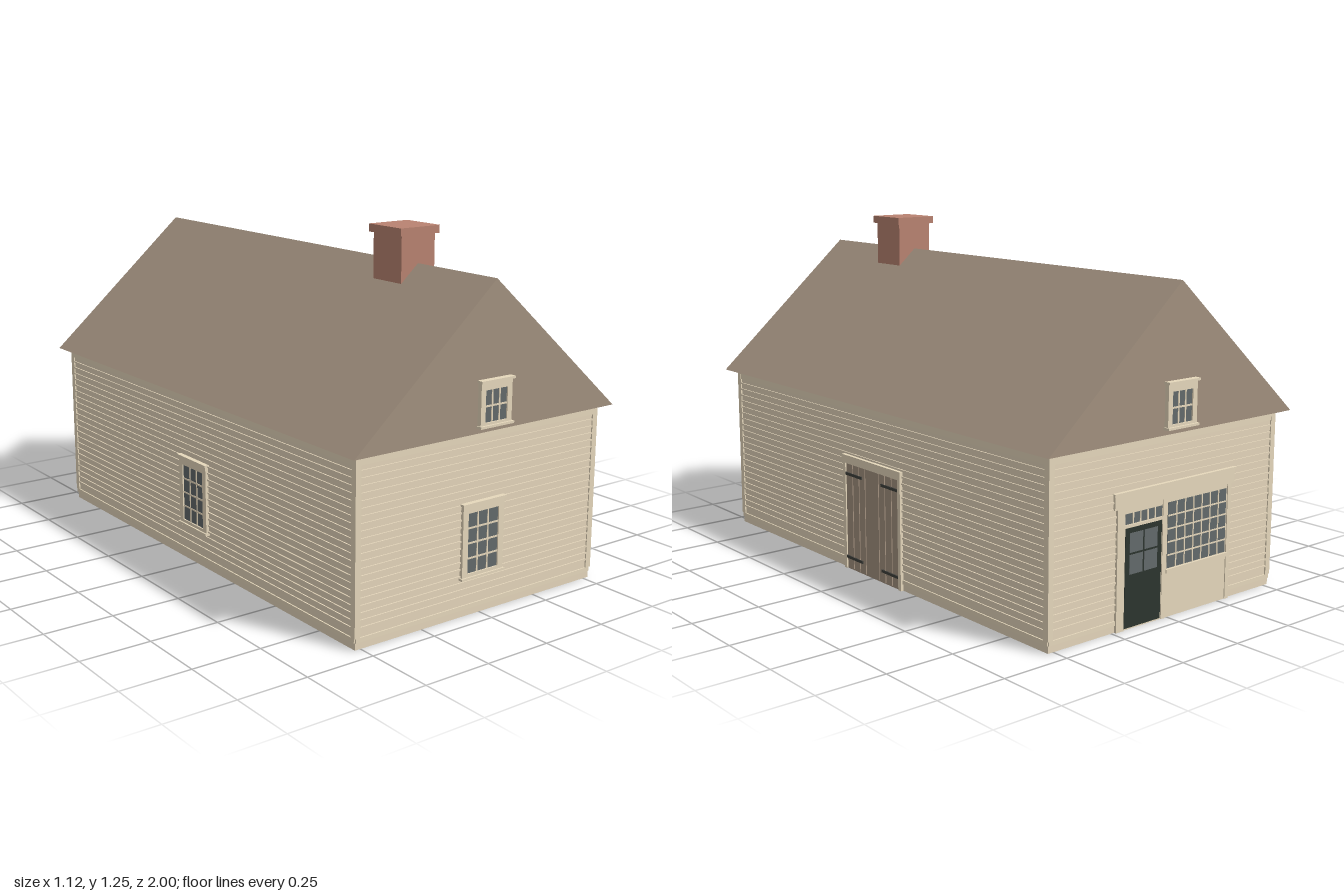
import * as THREE from 'three';

const mat = (name, color, side = THREE.FrontSide) => {
  const m = new THREE.MeshStandardMaterial({ color, side });
  m.name = name;
  return m;
};

export function createModel() {
  const M = {
    wall: mat('wall tan', 0xe5d6bb, THREE.DoubleSide),
    trim: mat('trim cream', 0xe6d8bc),
    glass: mat('window glass', 0x636a6b),
    roof: mat('roof brown', 0xa2917f),
    brick: mat('chimney brick', 0xb98371),
    barn: mat('barn door brown', 0xa49280),
    iron: mat('hinge iron', 0x3f403c),
    shopDoor: mat('shop door green', 0x2c342e),
  };
  const house = new THREE.Group();
  house.name = 'house';

  // Box given by its x range, y range and z range
  const box = (parent, name, m, x0, x1, y0, y1, z0, z1) => {
    const mesh = new THREE.Mesh(new THREE.BoxGeometry(x1 - x0, y1 - y0, z1 - z0), m);
    mesh.position.set((x0 + x1) / 2, (y0 + y1) / 2, (z0 + z1) / 2);
    mesh.name = name;
    parent.add(mesh);
  };
  const group = (parent, name) => {
    const g = new THREE.Group();
    g.name = name;
    parent.add(g);
    return g;
  };

  // Pane of glass crossed by glazing bars
  const glazing = (g, x0, x1, y0, y1, cols, rows, z, bar) => {
    box(g, 'glass', M.glass, x0, x1, y0, y1, z - 0.003, z);
    for (let i = 1; i < cols; i++) {
      const x = x0 + (x1 - x0) * i / cols;
      box(g, 'uprightBar', M.trim, x - bar / 2, x + bar / 2, y0, y1, z, z + 0.002);
    }
    for (let j = 1; j < rows; j++) {
      const y = y0 + (y1 - y0) * j / rows;
      box(g, 'crossBar', M.trim, x0, x1, y - bar / 2, y + bar / 2, z, z + 0.002);
    }
  };

  // Framed sash window with a cap and a sill; hw and gw are half widths
  const sashWindow = (parent, name, hw, y0, y1, gw, g0, g1, cols, rows, depth, lip) => {
    const g = group(parent, name);
    for (const s of [-1, 1]) {
      const a = s * gw, b = s * hw;
      box(g, 'jamb', M.trim, Math.min(a, b), Math.max(a, b), y0, y1, 0, depth);
    }
    box(g, 'headCasing', M.trim, -gw, gw, g1, y1, 0, depth);
    box(g, 'bottomRail', M.trim, -gw, gw, y0, g0, 0, depth);
    box(g, 'cap', M.trim, -hw - 0.005, hw + 0.005, y1 - 0.005, y1 + 0.003, 0, lip);
    box(g, 'sill', M.trim, -hw - 0.005, hw + 0.005, y0 - 0.007, y0 + 0.001, 0, lip);
    glazing(g, -gw, gw, g0, g1, cols, rows, depth - 0.005, 0.006);
    return g;
  };

  // One clapboard wall, built facing +z at a distance from the centre
  const EAVE = 0.634;
  const wall = (name, angle, half, dist) => {
    const turned = group(house, name);
    turned.rotation.y = angle;
    const g = group(turned, name + 'Face');
    g.position.z = dist;
    const sheet = new THREE.Mesh(new THREE.PlaneGeometry(half * 2, EAVE), M.wall);
    sheet.position.y = EAVE / 2;
    sheet.name = 'wallSheet';
    g.add(sheet);
    for (let i = 0; i < 22; i++) {
      const y = 0.071 + i * 0.0243;
      box(g, 'clapboardEdge', M.wall, -half + 0.015, half - 0.015, y - 0.003, y + 0.003, 0, 0.0045);
    }
    for (const s of [-1, 1]) {
      const a = s * (half - 0.017), b = s * (half + 0.005);
      box(g, 'cornerBoard', M.trim, Math.min(a, b), Math.max(a, b), 0.04, EAVE, 0, 0.005);
    }
    box(g, 'frieze', M.trim, -half, half, 0.6, EAVE, 0, 0.0042);
    box(g, 'baseBoard', M.trim, -half, half, 0.025, 0.04, 0, 0.0046);
    return g;
  };
  const front = wall('frontWall', 0, 0.522, 0.937);
  const left = wall('leftWall', Math.PI / 2, 0.937, 0.522);
  const back = wall('backWall', Math.PI, 0.522, 0.937);
  const right = wall('rightWall', -Math.PI / 2, 0.937, 0.522);

  for (const [w, n] of [[front, 'frontWindow'], [right, 'sideWindow']])
    sashWindow(w, n, 0.09, 0.139, 0.391, 0.067, 0.151, 0.359, 3, 4, 0.012, 0.018);

  // Double barn door with plank battens and strap hinges
  const barn = group(left, 'barnDoor');
  box(barn, 'header', M.trim, -0.18, 0.18, 0.4, 0.43, 0, 0.013);
  for (const s of [-1, 1]) {
    const span = (a, b) => (s > 0 ? [a, b] : [-b, -a]);
    box(barn, 'jamb', M.trim, ...span(0.161, 0.177), 0, 0.4, 0, 0.011);
    box(barn, 'doorLeaf', M.barn, ...span(0, 0.161), 0, 0.4, 0, 0.006);
    for (const x of [0.042, 0.08, 0.12])
      box(barn, 'plankBatten', M.barn, ...span(x - 0.0015, x + 0.0015), 0.005, 0.398, 0.005, 0.009);
    for (const y of [0.045, 0.36])
      box(barn, 'strapHinge', M.iron, ...span(0.06, 0.161), y - 0.005, y + 0.005, 0.005, 0.011);
  }

  // Shop front: surround, glazed door with transom, wide window
  const shop = group(back, 'shopFront');
  box(shop, 'surround', M.trim, -0.237, 0.302, 0, 0.42, 0, 0.0055);
  box(shop, 'header', M.trim, -0.25, 0.317, 0.41, 0.465, 0, 0.009);
  box(shop, 'headerCap', M.trim, -0.255, 0.322, 0.457, 0.465, 0, 0.013);
  for (const [a, b] of [[-0.237, -0.203], [-0.03, -0.012], [0.285, 0.302]])
    box(shop, 'pilaster', M.trim, a, b, 0, 0.41, 0, 0.009);
  const door = group(shop, 'shopDoor');
  box(door, 'doorLeaf', M.shopDoor, -0.2, -0.033, 0.005, 0.345, 0, 0.007);
  for (let i = 0; i < 2; i++)
    for (let j = 0; j < 2; j++) {
      const x = -0.18 + i * 0.067, y = 0.185 + j * 0.073;
      box(door, 'doorPane', M.glass, x, x + 0.06, y, y + 0.066, 0.006, 0.008);
    }
  box(door, 'transomRail', M.trim, -0.203, -0.03, 0.343, 0.353, 0, 0.009);
  glazing(door, -0.2, -0.033, 0.355, 0.39, 5, 1, 0.0065, 0.006);
  const display = group(shop, 'displayWindow');
  glazing(display, -0.005, 0.28, 0.17, 0.395, 7, 5, 0.0065, 0.005);
  box(display, 'sill', M.trim, -0.012, 0.287, 0.155, 0.168, 0, 0.013);

  // Solid gabled roof
  const gable = new THREE.Shape([
    new THREE.Vector2(-0.562, EAVE), new THREE.Vector2(0.562, EAVE), new THREE.Vector2(0, 1.127),
  ]);
  const roofGeo = new THREE.ExtrudeGeometry(gable, { depth: 1.954, bevelEnabled: false });
  roofGeo.translate(0, 0, -0.977);
  const roof = new THREE.Mesh(roofGeo, M.roof);
  roof.name = 'roof';
  house.add(roof);

  // Flat ceiling closing the walls
  const ceiling = new THREE.Mesh(new THREE.PlaneGeometry(1.044, 1.874), M.wall);
  ceiling.rotation.x = Math.PI / 2;
  ceiling.position.y = EAVE - 0.003;
  ceiling.name = 'ceiling';
  house.add(ceiling);

  // Attic windows in both gables
  for (const [angle, name] of [[0, 'frontAtticWindow'], [Math.PI, 'backAtticWindow']]) {
    const turned = group(house, name);
    turned.rotation.y = angle;
    const w = sashWindow(turned, name + 'Sash', 0.067, 0.66, 0.806, 0.047, 0.669, 0.776, 3, 2, 0.015, 0.023);
    w.position.z = 0.977;
  }

  // Chimney
  box(house, 'chimney', M.brick, -0.072, 0.072, 1.0, 1.223, 0.449, 0.596);
  box(house, 'chimneyCap', M.brick, -0.084, 0.084, 1.223, 1.25, 0.438, 0.606);

  return house;
}
